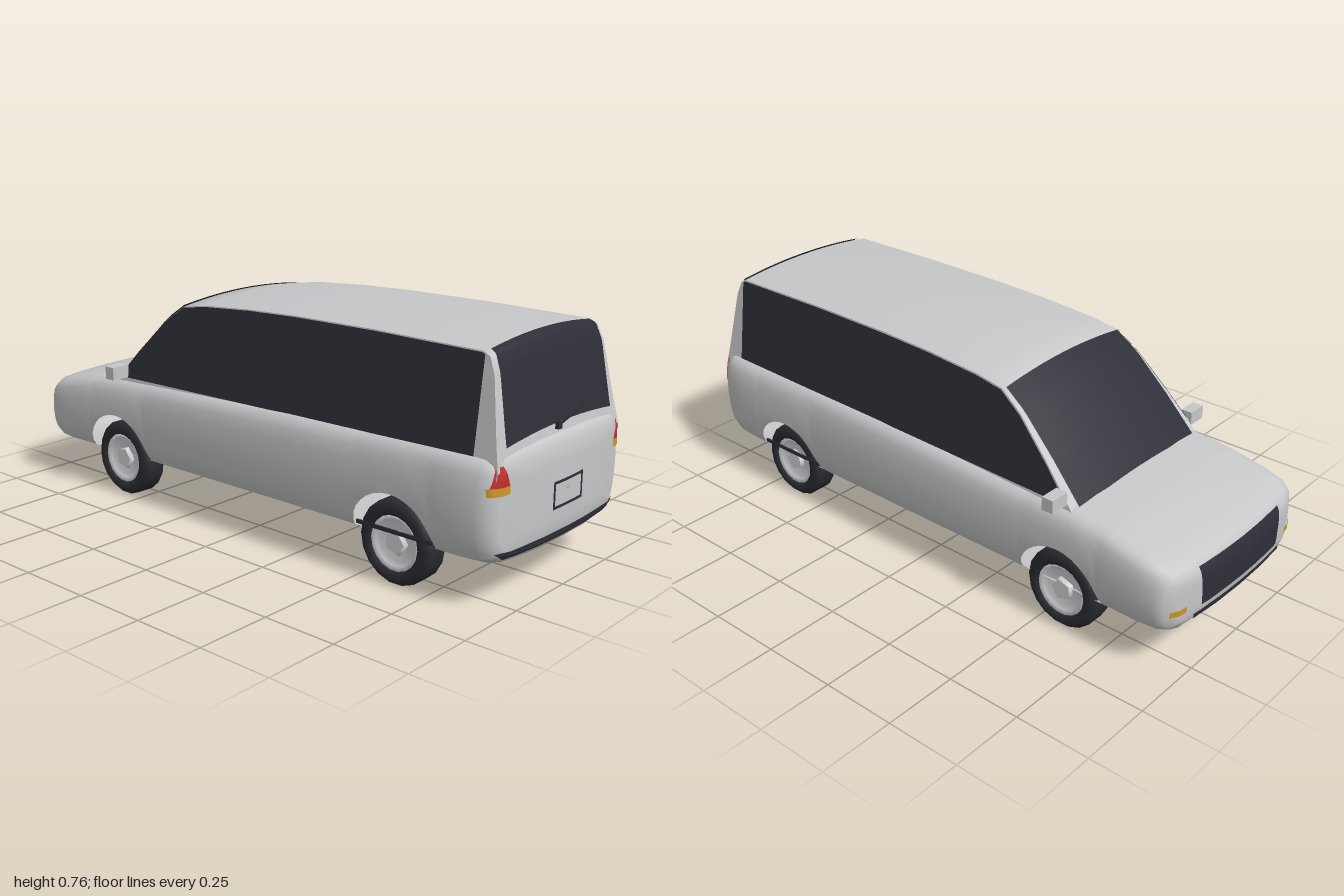
import * as THREE from 'three';

const mat = (name, color, side = THREE.DoubleSide) => new THREE.MeshStandardMaterial({ name, color, side });
const paint = mat('silver paint', 0xc6c7c8);
const glass = mat('dark glass and trim', 0x2e2e38);
const rubber = mat('tyre rubber', 0x2b2c32);
const alloy = mat('wheel alloy', 0xd6d7d9);
const red = mat('red lamp', 0xc62d2d);
const amber = mat('amber lamp', 0xcb982a);

const WHEELS = [0.63, -0.58];

// Linear interpolation in a table of rows [key, a, b, ...] with falling keys
function lookup(table, key) {
  if (key >= table[0][0]) return table[0].slice(1);
  for (let i = 1; i < table.length; i++) {
    const p = table[i - 1], q = table[i];
    if (key >= q[0]) return q.slice(1).map((v, k) => THREE.MathUtils.lerp(v, p[k + 1], (key - q[0]) / (p[0] - q[0])));
  }
  return table[table.length - 1].slice(1);
}

// Smooth surface through rows of points
function surface(rows) {
  const n = rows[0].length, index = [];
  for (let i = 0; i < rows.length - 1; i++) for (let j = 0; j < n - 1; j++) {
    const a = i * n + j, b = a + n;
    index.push(a, a + 1, b, a + 1, b + 1, b);
  }
  const g = new THREE.BufferGeometry();
  g.setAttribute('position', new THREE.Float32BufferAttribute(rows.flat(2), 3));
  g.setIndex(index);
  g.computeVertexNormals();
  return g;
}

const range = (a, b, n) => Array.from({ length: n + 1 }, (_, i) => a + (b - a) * i / n);

// Lower body stations: z, half width, top, bottom
const HULL = [
  [0.974, 0.01, 0.31, 0.30], [0.973, 0.2, 0.39, 0.22], [0.969, 0.32, 0.435, 0.165], [0.955, 0.352, 0.455, 0.145],
  [0.92, 0.366, 0.46, 0.134], [0.85, 0.371, 0.46, 0.13], [0.2, 0.372, 0.452, 0.13], [-0.6, 0.371, 0.422, 0.13],
  [-0.75, 0.37, 0.405, 0.13], [-0.86, 0.369, 0.382, 0.13], [-0.92, 0.364, 0.365, 0.134], [-0.95, 0.35, 0.345, 0.143],
  [-0.966, 0.31, 0.318, 0.165], [-0.973, 0.2, 0.29, 0.2], [-0.975, 0.01, 0.25, 0.245]];
// Flank profile: relative height, relative half width
const FLANK = [[1, 0.85], [0.97, 0.905], [0.93, 0.945], [0.86, 0.975], [0.72, 0.995], [0.5, 1], [0.3, 0.985], [0.18, 0.96], [0.08, 0.91]];

function hullRows() {
  const zs = HULL.map(s => s[0]);
  for (const w of WHEELS) for (let i = 0; i <= 16; i++) zs.push(w + 0.15 * Math.cos(Math.PI * i / 16));
  zs.sort((a, b) => b - a);
  const upper = [], floor = [];
  for (const z of zs) {
    const [w, top, bot] = lookup(HULL, z), H = top - bot;
    // Lower edge rises over the wheels
    const base = bot + 0.08 * H;
    let edge = base;
    for (const c of WHEELS) edge = Math.max(edge, 0.145 + Math.sqrt(Math.max(0, 0.0225 - (z - c) ** 2)) * (Math.abs(z - c) < 0.15 ? 1 : 0));
    const bulge = Math.sign(z) * 0.025 * THREE.MathUtils.clamp((Math.abs(z) - 0.85) / 0.1, 0, 1);
    const pt = (x, y) => [x, y, z + bulge * (1 - (x / 0.37) ** 2)];
    const half = FLANK.map(([h]) => {
      const y = edge + (h - 0.08) / 0.92 * (top - edge);
      return [w * lookup(FLANK, (y - bot) / H)[0], y];
    }).reverse();
    half.push([0.6 * w, top + 0.025 * H], [0.3 * w, top + 0.036 * H]);
    upper.push([...half.map(p => pt(p[0], p[1])), pt(0, top + 0.04 * H), ...half.reverse().map(p => pt(-p[0], p[1]))]);
    floor.push([[-0.91, 0.08], [-0.8, 0.02], [-0.4, 0], [0, 0], [0.4, 0], [0.8, 0.02], [0.91, 0.08]].map(([x, h]) => pt(x * w, bot + h * H)));
  }
  return [upper, floor];
}

// Cabin: height of the side edge of the roof along z, with a crowned middle
const ROOF = [[0.972, 0.42], [0.956, 0.5], [0.925, 0.68], [0.905, 0.73], [0.88, 0.742], [0.5, 0.746], [0.2, 0.743], [0, 0.736],
  [-0.2, 0.722], [-0.3, 0.706], [-0.38, 0.65], [-0.5, 0.53], [-0.6, 0.42], [-0.63, 0.385]];
const edgeY = z => lookup(ROOF, z)[0];
const sideX = y => 0.328 - (y - 0.44) * 0.143;
const roofY = (x, z) => edgeY(z) + 0.021 * (1 - (x / sideX(edgeY(z))) ** 2);

function cabinRows() {
  return ROOF.map(([z, e]) => {
    const xe = sideX(e), foot = Math.min(e, 0.4);
    const roof = range(xe, -xe, 12).map(x => [x, roofY(x, z), z]);
    return [[sideX(foot), foot, z], ...roof, [-sideX(foot), foot, z]];
  });
}

// Glass sheet lying on the cabin between two z values
const roofSheet = (z0, z1, w0, w1, dy, dz) => surface(range(0, 1, 14).map(t => {
  const z = z0 + (z1 - z0) * t, w = w0 + (w1 - w0) * t;
  return range(w, -w, 10).map(x => [x, roofY(x, z) + dy, z + dz]);
}));

export function createModel() {
  const model = new THREE.Group();
  const add = (name, geometry, material, parent = model) => {
    const m = new THREE.Mesh(geometry, material);
    m.name = name;
    parent.add(m);
    return m;
  };
  const box = (name, size, pos, material) => {
    const m = add(name, new THREE.BoxGeometry(...size), material);
    m.position.set(...pos);
    return m;
  };

  // Body shell
  const [upper, floor] = hullRows();
  const hull = add('lowerBody', surface(upper), paint);
  add('floorPan', surface(floor), paint);
  const shellParts = [hull, model.children[1]];
  const cabin = surface(cabinRows().map(r => r.slice(1, -1)));
  add('roofAndPillars', cabin, paint);
  for (const s of [1, -1]) {
    add('cabinSide', surface(cabinRows().map(r => s > 0 ? r.slice(0, 2) : r.slice(-2))), paint);
  }

  // Glazing
  add('windshield', roofSheet(-0.305, -0.61, 0.28, 0.302, 0.005, -0.004), glass);
  add('rearWindow', roofSheet(0.885, 0.961, 0.262, 0.284, 0.003, 0.005), glass);
  const glassZ = [0.89, 0.88, 0.5, 0.2, 0, -0.2, -0.3, -0.38, -0.5, -0.572];
  for (const s of [1, -1]) {
    add('sideWindow', surface(glassZ.map(z => {
      const low = 0.43 + (z + 0.57) * 0.017;
      return [low, Math.max(low, edgeY(z) - 0.003)].map(y => [s * (sideX(y) + 0.004), y, z]);
    })), glass);
  }

  // Thin panels moulded to the rear (dir 1) or nose (dir -1)
  const ray = new THREE.Raycaster();
  const onBody = (x, y, dir) => {
    for (let k = 0; k < 40; k++, x *= 0.985) {
      ray.set(new THREE.Vector3(x + 1e-5, y, 2 * dir), new THREE.Vector3(0, 0, -dir));
      const hit = ray.intersectObjects(shellParts)[0];
      if (hit && hit.point.z * dir > 0.8) return [x, y, hit.point.z + 0.004 * dir];
    }
    return [x, y, 0.95 * dir];
  };
  const panel = (name, material, dir, y0, y1, [a0, b0], [a1, b1] = [a0, b0]) => add(name, surface(range(0, 1, 8).map(t => {
    const a = a0 + (a1 - a0) * t, b = b0 + (b1 - b0) * t;
    return range(a, b, 12).map(x => onBody(x, y0 + (y1 - y0) * t, dir));
  })), material);

  model.updateMatrixWorld(true);
  for (const s of [1, -1]) {
    panel('tailLamp', red, 1, 0.38, 0.438, [s * 0.284, s * 0.35], [s * 0.305, s * 0.33]);
    panel('rearIndicator', amber, 1, 0.356, 0.38, [s * 0.284, s * 0.354]);
    panel('frontIndicator', amber, -1, 0.208, 0.228, [s * 0.275, s * 0.335]);
    panel('plateFrameSide', glass, 1, 0.255, 0.34, [s * 0.07, s * 0.08]);
  }
  panel('plateFrameBottom', glass, 1, 0.255, 0.264, [-0.08, 0.08]);
  panel('plateFrameTop', glass, 1, 0.331, 0.34, [-0.08, 0.08]);
  panel('rearBumperStrip', glass, 1, 0.16, 0.184, [-0.29, 0.29], [-0.325, 0.325]);
  panel('grille', glass, -1, 0.205, 0.335, [-0.21, 0.21], [-0.22, 0.22]);
  panel('frontBumperStrip', glass, -1, 0.163, 0.185, [-0.24, 0.24]);

  // Rear wiper
  const wiper = box('rearWiper', [0.14, 0.006, 0.006], [0.035, 0.511, 0.976], rubber);
  wiper.rotation.z = 0.23;
  box('wiperPivot', [0.02, 0.02, 0.012], [-0.032, 0.495, 0.977], rubber);

  // Mirrors, wheels and the dark bars behind the rear rims
  const tyre = new THREE.LatheGeometry([[0.088, -0.044], [0.118, -0.044], [0.133, -0.03], [0.133, 0.03], [0.118, 0.044], [0.088, 0.044], [0.084, 0.02]]
    .map(p => new THREE.Vector2(...p)), 18);
  const rim = new THREE.LatheGeometry([[0.001, 0.022], [0.06, 0.026], [0.074, 0.034], [0.09, 0.04], [0.09, -0.04], [0.001, -0.04]]
    .map(p => new THREE.Vector2(...p)), 18);
  const cap = new THREE.CylinderGeometry(0.036, 0.042, 0.02, 5);
  for (const s of [1, -1]) {
    box('mirror', [0.068, 0.044, 0.04], [s * 0.364, 0.454, -0.565], paint);
    box('mirrorArm', [0.03, 0.015, 0.02], [s * 0.325, 0.445, -0.565], paint);
    box('sillBar', [0.006, 0.012, 0.28], [s * 0.342, 0.17, 0.63], glass);
    for (const z of WHEELS) {
      const wheel = new THREE.Group();
      wheel.name = z > 0 ? 'rearWheel' : 'frontWheel';
      wheel.position.set(s * 0.299, 0.133, z);
      wheel.rotation.z = -s * Math.PI / 2;
      add('tyre', tyre, rubber, wheel);
      add('rim', rim, alloy, wheel);
      add('hubCap', cap, alloy, wheel).position.y = 0.03;
      model.add(wheel);
    }
  }
  return model;
}
